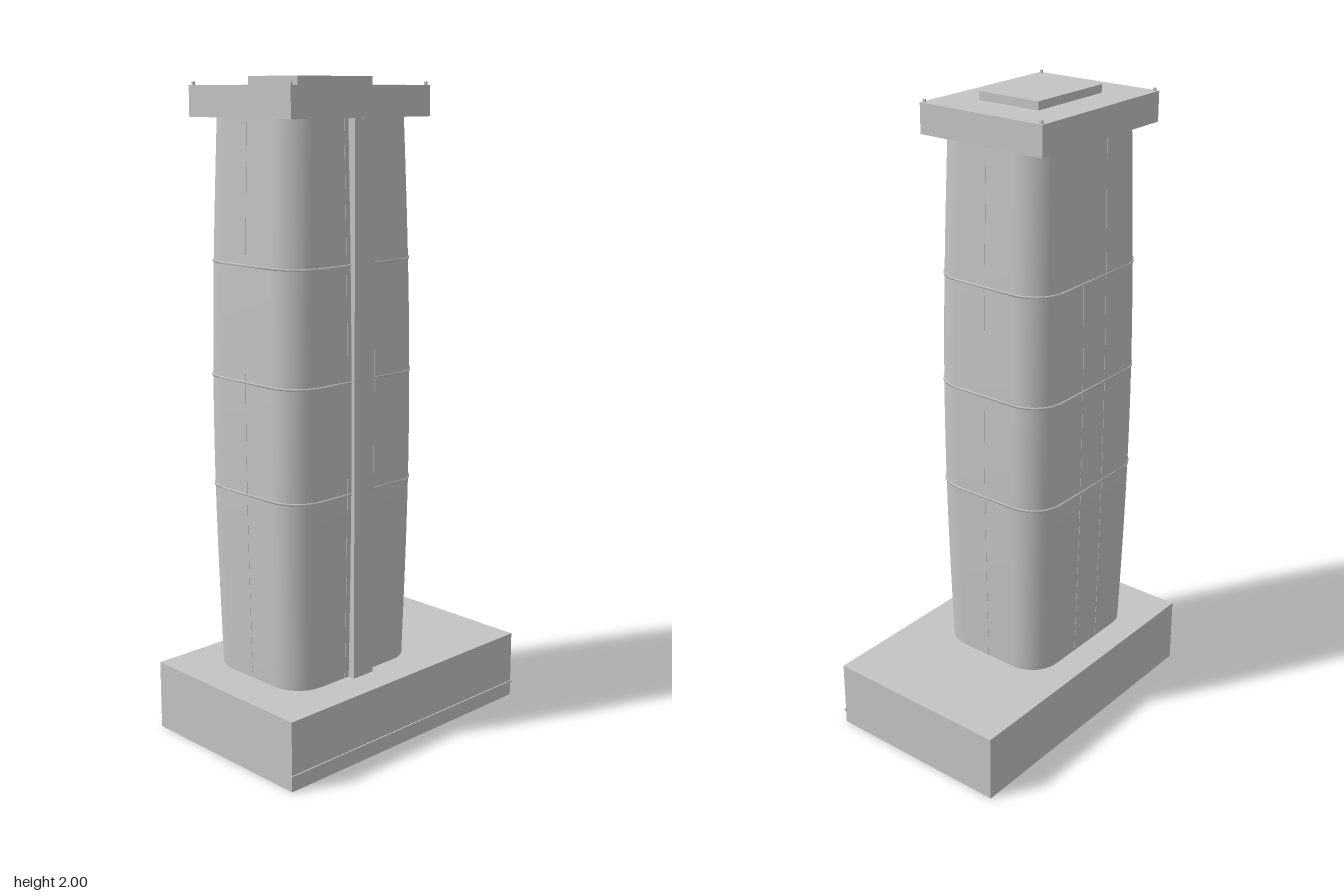
import * as THREE from 'three';

const CX = -0.104, CZ = -0.026;     // tower axis
const Y0 = 0.215, Y1 = 1.885;       // shaft bottom and top
const CORNER = 0.1;

// Half width and half depth of the gently bulging shaft at height y
function halfSize(y) {
  const t = (y - Y0) / (Y1 - Y0);
  const bulge = 0.016 * Math.sin(Math.PI * t);
  return [0.253 - 0.007 * t + bulge, 0.2 - 0.004 * t + bulge * 0.8];
}

// Rounded rectangle outline at height y, pushed outward by grow
function outline(y, grow, segs = 10) {
  const [hx, hz] = halfSize(y);
  const pts = [];
  [[1, 1], [-1, 1], [-1, -1], [1, -1]].forEach(([sx, sz], q) => {
    for (let i = 0; i <= segs; i++) {
      const a = (q + i / segs) * Math.PI / 2;
      pts.push([
        CX + sx * (hx - CORNER) + Math.cos(a) * (CORNER + grow), y,
        CZ + sz * (hz - CORNER) + Math.sin(a) * (CORNER + grow),
      ]);
    }
  });
  return pts;
}

// Smooth skin through closed outlines listed from bottom to top
function loft(rings) {
  const n = rings[0].length, index = [];
  for (let r = 0; r < rings.length - 1; r++) {
    for (let i = 0; i < n; i++) {
      const j = (i + 1) % n, a = r * n, b = a + n;
      index.push(a + i, b + i, a + j, a + j, b + i, b + j);
    }
  }
  const geo = new THREE.BufferGeometry();
  geo.setAttribute('position', new THREE.Float32BufferAttribute(rings.flat(2), 3));
  geo.setIndex(index);
  geo.computeVertexNormals();
  return geo;
}

export function createModel() {
  const model = new THREE.Group();
  model.name = 'tower';
  const grey = new THREE.MeshStandardMaterial({ color: 0xc4c4c4, side: THREE.DoubleSide });
  grey.name = 'light grey';

  const add = (name, geo) => {
    const mesh = new THREE.Mesh(geo, grey);
    mesh.name = name;
    model.add(mesh);
    return mesh;
  };
  const box = (name, x0, x1, y0, y1, z0, z1) => {
    const mesh = add(name, new THREE.BoxGeometry(x1 - x0, y1 - y0, z1 - z0));
    mesh.position.set((x0 + x1) / 2, (y0 + y1) / 2, (z0 + z1) / 2);
    return mesh;
  };

  // Podium, hollow and open underneath
  const podium = box('podium', -0.488, 0.488, 0, Y0, -0.316, 0.294);
  const faces = Array.from(podium.geometry.index.array);
  faces.splice(18, 6);
  podium.geometry.setIndex(faces);
  podium.geometry.clearGroups();
  box('podiumTrim', -0.492, 0.492, 0.044, 0.05, 0.291, 0.298);

  // Bulging shaft
  const levels = 24, rings = [];
  for (let i = 0; i <= levels; i++) rings.push(outline(Y0 + (Y1 - Y0) * i / levels, 0));
  add('shaft', loft(rings));

  // Thin bands round the shaft
  for (const y of [0.795, 1.133, 1.472]) {
    const h = 0.003;
    add('band', loft([
      outline(y - h, -0.002), outline(y - h, 0.003),
      outline(y + h, 0.003), outline(y + h, -0.002),
    ]));
  }

  // Fine vertical seams that follow the bulge
  const seam = (offset, sign, onSide) => {
    const geo = new THREE.BoxGeometry(0.004, Y1 - Y0, 0.004, 1, levels, 1);
    geo.translate(0, (Y0 + Y1) / 2, 0);
    const p = geo.attributes.position;
    for (let i = 0; i < p.count; i++) {
      const [hx, hz] = halfSize(p.getY(i));
      if (onSide) p.setXYZ(i, CX + sign * (hx - 0.001) + p.getX(i), p.getY(i), CZ + p.getZ(i));
      else p.setXYZ(i, CX + offset + p.getX(i), p.getY(i), CZ + sign * (hz - 0.001) + p.getZ(i));
    }
    add('seam', geo);
  };
  for (const sign of [-1, 1]) {
    seam(-0.055, sign, false);
    seam(0.055, sign, false);
    seam(0, sign, true);
  }

  // Straight pilaster on the front
  box('pilaster', CX - 0.04, CX + 0.04, Y0, Y1, 0.13, 0.197);

  // Cap slab, roof block and corner pegs
  box('cap', -0.38, 0.17, Y1, 1.975, -0.245, 0.191);
  box('roofBlock', -0.252, 0.043, 1.975, 2, -0.132, 0.079);
  for (const x of [-0.371, 0.161]) {
    for (const z of [-0.235, 0.181]) {
      box('cornerPeg', x - 0.003, x + 0.003, 1.975, 1.984, z - 0.004, z + 0.004);
    }
  }

  return model;
}
